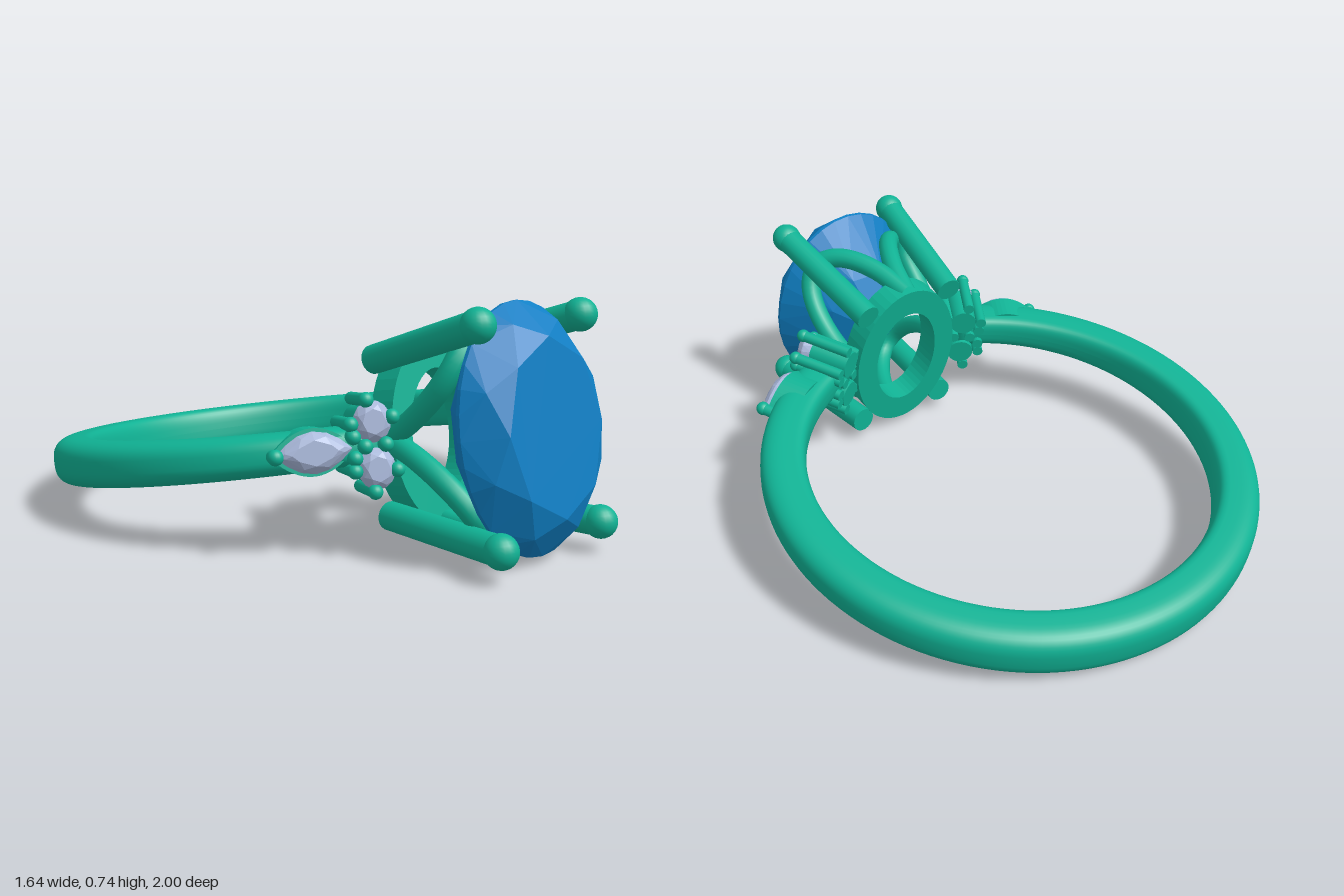
import * as THREE from 'three';
import { ParametricGeometry } from 'three/addons/geometries/ParametricGeometry.js';
import { ConvexGeometry } from 'three/addons/geometries/ConvexGeometry.js';

const metal = new THREE.MeshStandardMaterial({ color: 0x10b294 });
const blue = new THREE.MeshStandardMaterial({ color: 0x0f7fc4, flatShading: true });
const pale = new THREE.MeshStandardMaterial({ color: 0xa9b8da, flatShading: true });
const V = (x, y, z) => new THREE.Vector3(x, y, z);

function add(parent, name, geometry, material = metal) {
  const mesh = new THREE.Mesh(geometry, material);
  mesh.name = name;
  parent.add(mesh);
  return mesh;
}

// Straight rod from p to q with a rounded tip at q
function rod(parent, name, p, q, r, tip = r) {
  const g = new THREE.Group();
  g.name = name;
  const dir = q.clone().sub(p);
  const bar = add(g, name + 'Bar', new THREE.CylinderGeometry(r, r, dir.length(), 20));
  bar.position.copy(p).addScaledVector(dir, 0.5);
  bar.quaternion.setFromUnitVectors(V(0, 1, 0), dir.normalize());
  add(g, name + 'Tip', new THREE.SphereGeometry(tip, 20, 14)).position.copy(q);
  parent.add(g);
}

// Faceted stone: outline(a) gives the girdle, crown towards +z, point towards -z
function stone(outline, crown, depth, table, n) {
  const pts = [V(0, 0, -depth)];
  const ring = (count, scale, z, shift) => {
    for (let i = 0; i < count; i++) {
      const [x, y] = outline(((i + shift) / count) * Math.PI * 2);
      pts.push(V(x * scale, y * scale, z));
    }
  };
  ring(8, table, crown, 0);
  ring(8, (table + 1) / 2 + 0.03, crown * 0.6, 0.5);
  ring(n, 1, 0, 0);
  ring(n, 1, -crown * 0.12, 0);
  ring(8, 0.55, -depth * 0.58, 0.5);
  return new ConvexGeometry(pts);
}

const ellipse = (rx, ry) => a => [rx * Math.cos(a), ry * Math.sin(a)];
const marquise = (rx, ry) => a => [rx * Math.cos(a), ry * Math.sin(a) * Math.abs(Math.sin(a))];

// Flat frame between two outlines
function frame(outer, inner, depth) {
  const loop = f => Array.from({ length: 48 }, (_, i) => new THREE.Vector2(...f((i / 48) * Math.PI * 2)));
  const shape = new THREE.Shape(loop(outer));
  shape.holes.push(new THREE.Path(loop(inner)));
  return new THREE.ExtrudeGeometry(shape, { depth, bevelEnabled: false });
}

// Open band: rounded outside, flatter inside, wider at the back, closed ends
function bandGeometry() {
  const start = 0.36, N = 120;
  const pw = (v, e) => Math.sign(v) * Math.pow(Math.abs(v), e);
  const geo = new ParametricGeometry((u, v, target) => {
    const end = u < 0.5 / N || u > 1 - 0.5 / N;
    const uu = end ? u : (u * N - 1) / (N - 2);
    const th = start + uu * (Math.PI * 2 - start * 2);
    const back = (1 - Math.cos(th)) / 2;
    const t = (v * 2 - 1) * Math.PI, c = Math.cos(t), k = end ? 0 : 1;
    const h = 0.057 + 0.027 * back;
    const r = 0.747 + k * 0.073 * pw(c, c > 0 ? 0.85 : 0.4);
    target.set(r * Math.sin(th), k * h * pw(Math.sin(t), 0.7), r * Math.cos(th));
  }, N, 40);
  geo.computeVertexNormals();
  return geo;
}

// Cluster of two round stones and one pointed stone on a shoulder
function shoulder(parent, s) {
  const g = new THREE.Group();
  g.name = s > 0 ? 'leftShoulder' : 'rightShoulder';
  g.position.set(s * 0.325, 0, 0.765);
  g.rotation.y = s * 0.5;
  parent.add(g);
  for (const y of [0.067, -0.067]) {
    add(g, 'roundStone', stone(ellipse(0.055, 0.06), 0.025, 0.05, 0.6, 16), pale).position.set(0, y, 0);
    const seat = add(g, 'roundSeat', new THREE.CylinderGeometry(0.05, 0.046, 0.14, 28));
    seat.rotation.x = Math.PI / 2;
    seat.position.set(0, y, -0.1);
  }
  add(g, 'pointedStone', stone(marquise(0.11, 0.06), 0.025, 0.04, 0.6, 16), pale).position.set(s * 0.175, 0, 0);
  add(g, 'pointedSeat', frame(marquise(0.125, 0.068), marquise(0.08, 0.038), 0.1)).position.set(s * 0.175, 0, -0.115);
  const beads = [[0.015, 0.13], [0.066, 0.066], [-0.055, 0.075], [0.062, 0.03]];
  for (const [x, y] of beads) for (const m of [1, -1])
    rod(g, 'smallProng', V(s * x, m * y, -0.17), V(s * x, m * y, 0.012), 0.019, 0.022);
  for (const x of [-0.03, 0.03])
    rod(g, 'middleProng', V(s * x, 0, -0.17), V(s * x, 0, 0.012), 0.019, 0.022);
  rod(g, 'endProng', V(s * 0.285, 0, -0.07), V(s * 0.285, 0, 0.005), 0.02, 0.023);
}

export function createModel() {
  const model = new THREE.Group();
  model.name = 'ring';
  const ring = new THREE.Group();
  ring.name = 'tiltedRing';
  ring.position.set(0, 0.205, -0.19);
  ring.rotation.x = -0.165;
  model.add(ring);

  add(ring, 'band', bandGeometry());

  // Centre stone
  add(ring, 'centreStone', stone(ellipse(0.285, 0.362), 0.1, 0.27, 0.7, 32), blue).position.z = 1.055;

  // Oval base of the setting
  add(ring, 'basePlate', frame(ellipse(0.205, 0.285), ellipse(0.125, 0.19), 0.09)).position.z = 0.625;

  // Four long prongs, each with an arch leaning out under the stone
  for (const sx of [1, -1]) for (const sy of [1, -1]) {
    rod(ring, 'prong', V(sx * 0.17, sy * 0.235, 0.63), V(sx * 0.22, sy * 0.302, 1.1), 0.044, 0.05);
    const pts = [];
    for (let i = 0; i <= 12; i++) {
      const a = (i / 12) * Math.PI / 2;
      const k = Math.pow(Math.max(0, Math.sin(2 * a)), 0.75);
      pts.push(V(sx * (0.185 + 0.06 * k) * Math.cos(a), sy * (0.265 + 0.06 * k) * Math.sin(a), 0.65 + 0.33 * k));
    }
    add(ring, 'galleryArch', new THREE.TubeGeometry(new THREE.CatmullRomCurve3(pts), 40, 0.034, 14));
  }

  shoulder(ring, 1);
  shoulder(ring, -1);
  return model;
}
